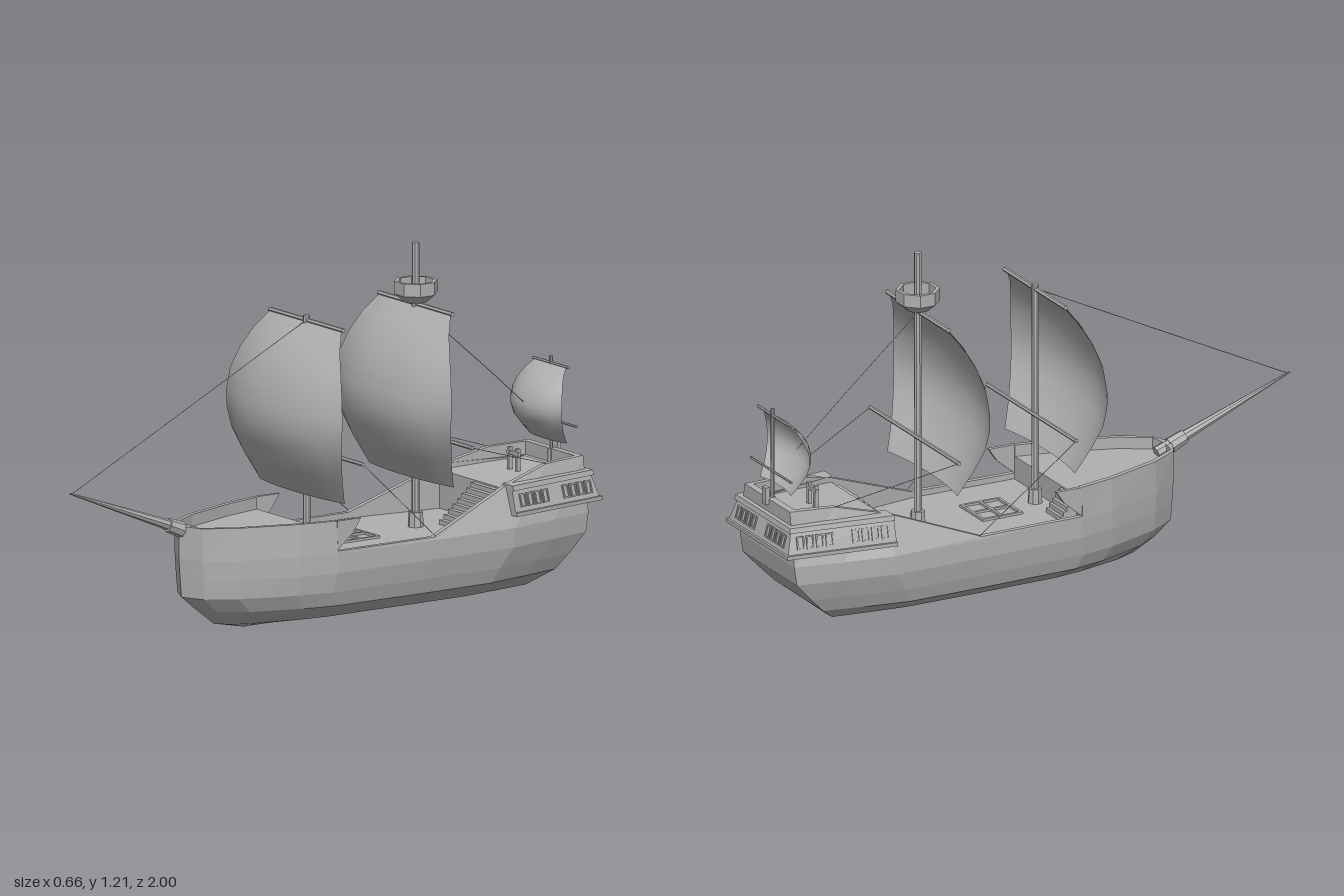
import * as THREE from 'three';

const grey = new THREE.MeshStandardMaterial({ color: 0xb0b0b0, flatShading: true });
grey.name = 'plain grey';
const sailGrey = grey.clone();
sailGrey.name = 'sail grey';
sailGrey.flatShading = false;
sailGrey.side = THREE.DoubleSide;

const V = (x, y, z) => new THREE.Vector3(x, y, z);

// Surface through a grid of points; rows share the same column count
function loft(rows) {
  const cols = rows[0].length, pos = [], idx = [];
  rows.forEach(r => r.forEach(p => pos.push(p.x, p.y, p.z)));
  for (let i = 0; i < rows.length - 1; i++) {
    for (let j = 0; j < cols - 1; j++) {
      const a = i * cols + j, b = a + 1, c = b + cols, d = a + cols;
      idx.push(a, b, c, a, c, d);
    }
  }
  const g = new THREE.BufferGeometry();
  g.setAttribute('position', new THREE.Float32BufferAttribute(pos, 3));
  g.setIndex(idx);
  g.computeVertexNormals();
  return g;
}

function createModel() {
  const ship = new THREE.Group();
  ship.name = 'sailingShip';

  const add = (name, geo, parent = ship, mat = grey) => {
    const m = new THREE.Mesh(geo, mat);
    m.name = name;
    parent.add(m);
    return m;
  };
  const box = (name, w, h, d, x, y, z, parent = ship) => {
    const m = add(name, new THREE.BoxGeometry(w, h, d), parent);
    m.position.set(x, y, z);
    return m;
  };
  // Tapered round bar between two points
  const bar = (name, a, b, r1, r2 = r1, sides = 8) => {
    const m = add(name, new THREE.CylinderGeometry(r2, r1, a.distanceTo(b), sides));
    m.position.copy(a).lerp(b, 0.5);
    m.quaternion.setFromUnitVectors(V(0, 1, 0), b.clone().sub(a).normalize());
    return m;
  };

  // Hull stations, bow to stern: side x, z, rail x, rail y, deck y
  const half = [
    [0, 0.56, 0, 0.375, 0.335], [0.08, 0.52, 0.08, 0.375, 0.335],
    [0.145, 0.42, 0.14, 0.375, 0.335], [0.215, 0.22, 0.208, 0.375, 0.335],
    [0.242, 0.09, 0.236, 0.375, 0.335], [0.242, 0.09, 0.242, 0.275, 0.255],
    [0.25, -0.29, 0.248, 0.275, 0.255], [0.25, -0.62, 0.2, 0.4, 0.255],
    [0.25, -0.62, 0.2, 0.4, 0.385], [0.218, -0.8, 0.172, 0.445, 0.395],
    [0.185, -0.96, 0.155, 0.45, 0.4], [0, -0.96, 0, 0.45, 0.4],
  ];
  const stations = [...half.slice(1).reverse().map(([x, z, t, y, d]) => [-x, z, -t, y, d]), ...half];
  // Waterlines: height, width share, bow z, stern z
  const levels = [
    [0.005, 0, 0.3, -0.74], [0.03, 0.53, 0.42, -0.77], [0.085, 0.89, 0.49, -0.84],
    [0.135, 0.95, 0.55, -0.89], [0.2, 1, 0.555, -0.95], [0.265, 1, 0.56, -0.96],
  ];
  const inner = z => THREE.MathUtils.clamp(z, -0.935, 0.53);
  const inset = x => Math.sign(x) * Math.max(0, Math.abs(x) - 0.018);
  const rows = levels.map(([y, s, bow, stern]) => stations.map(([x, z]) =>
    V(x * s, y, THREE.MathUtils.mapLinear(z, -0.96, 0.56, stern, bow))));
  rows.push(
    stations.map(([, z, t, y]) => V(t, y, z)),
    stations.map(([, z, t, y]) => V(inset(t), y, inner(z))),
    stations.map(([, z, t, , d]) => V(inset(t), d, inner(z))),
    stations.map(([, z, , , d]) => V(0, d, inner(z))),
  );
  add('hullAndDecks', loft(rows));

  // Pointed ends of the forward bulwarks
  for (const s of [-1, 1]) {
    const wedge = new THREE.Shape([[-0.09, 0.275], [-0.025, 0.33], [0.005, 0.375], [-0.09, 0.375]]
      .map(p => new THREE.Vector2(...p)));
    const m = add('bulwarkEnd', new THREE.ExtrudeGeometry(wedge, { depth: 0.014, bevelEnabled: false }));
    m.rotation.y = Math.PI / 2;
    m.position.x = s * 0.231 - 0.007;
  }

  // Stern gallery: a lipped band round both sides and the stern
  const profile = [[-0.07, 0.305], [0.008, 0.305], [0.008, 0.318], [0, 0.318],
    [-0.02, 0.388], [-0.012, 0.388], [-0.016, 0.405], [-0.075, 0.405]];
  const corners = [[-0.257, -0.615, -1, 0], [-0.202, -0.992, -1, -1],
    [0.202, -0.992, 1, -1], [0.257, -0.615, 1, 0]];
  // Column order runs so that the outside is the front face
  const path = [corners[3], corners[2], corners[1], corners[0]];
  const band = profile.map(([o, y]) => {
    const r = path.map(([x, z, sx, sz]) => V(x + sx * o, y, z + sz * o));
    const cap = ([x, z, sx]) => V(x - sx * 0.07, 0.355, z);
    return [cap(path[0]), ...r, cap(path[3])];
  });
  add('sternGallery', loft(band));

  // Window frames on the gallery
  const windows = (name, x, z, turn, offsets) => {
    const g = new THREE.Group();
    g.name = name;
    g.position.set(x, 0.353, z);
    g.rotation.set(-0.28, turn, 0, 'YXZ');
    for (const c of offsets) {
      for (let i = -1.5; i <= 1.5; i++) {
        const u = c + i * 0.034;
        for (const s of [-1, 1]) {
          box('windowPost', 0.005, 0.042, 0.008, u + s * 0.011, 0, 0, g);
          box('windowBar', 0.027, 0.005, 0.008, u, s * 0.02, 0, g);
        }
      }
    }
    ship.add(g);
  };
  for (const s of [-1, 1]) windows('sideWindows', s * 0.22, -0.8, s * 1.716, [-0.095, 0.1]);
  windows('sternWindows', 0, -0.982, Math.PI, [-0.1, 0.1]);

  // Stairs to the after deck and the foredeck
  const stairs = (name, x, w, z0, z1, top, n) => {
    for (let i = 0; i < n; i++) {
      const h = (top - 0.255) * (i + 1) / n, d = (z1 - z0) / n;
      box(name, w, h, Math.abs(d), x, 0.255 + h / 2, z0 + d * (i + 0.5));
    }
  };
  stairs('afterStairs', 0.09, 0.14, -0.475, -0.62, 0.38, 8);
  stairs('foreStairs', -0.15, 0.1, 0.03, 0.09, 0.33, 5);

  // Cargo hatch frame
  for (let i = -1; i <= 1; i++) {
    box('hatchBar', 0.01, 0.008, 0.15, i * 0.075, 0.259, -0.12);
    box('hatchBar', 0.16, 0.008, 0.01, 0, 0.259, -0.12 + i * 0.07);
  }

  // Bitts and stern post
  for (const s of [-1, 1]) box('bitt', 0.012, 0.075, 0.014, s * 0.022, 0.432, -0.79);
  box('bittBar', 0.064, 0.012, 0.012, 0, 0.452, -0.79);
  box('sternPost', 0.024, 0.06, 0.016, 0, 0.46, -0.965);

  // Bowsprit
  bar('bowsprit', V(0, 0.345, 0.5), V(0, 0.54, 1), 0.022, 0.003);
  bar('bowspritCollar', V(0, 0.362, 0.55), V(0, 0.385, 0.605), 0.027, 0.024);

  // Masts with collars, yards and billowing sails
  const outline = [[0, 0.205, 0, 0], [0.1, 0.245, 0.065, 0.035], [0.22, 0.286, 0.115, 0.06],
    [0.35, 0.318, 0.15, 0.078], [0.48, 0.33, 0.165, 0.085], [0.58, 0.328, 0.167, 0.085],
    [0.7, 0.314, 0.15, 0.075], [0.84, 0.28, 0.105, 0.05], [1, 0.24, 0.035, 0.012]];
  const sail = (name, z, top, bottom, kx, kz) => {
    const grid = outline.map(([t, w, mid, edge]) => {
      const r = [];
      for (let j = -5; j <= 5; j++) {
        const u = j / 5;
        r.push(V(u * w * kx, top + (bottom - top) * t, z + kz * (edge + (mid - edge) * (1 - Math.abs(u) ** 2.3))));
      }
      return r;
    });
    add(name, loft(grid.reverse()), ship, sailGrey);
  };
  const mast = (name, z, base, top, r) => {
    bar(name + 'Mast', V(0, base, z), V(0, top, z), r, r * 0.9);
    bar(name + 'MastCollar', V(0, base, z), V(0, base + 0.05, z), r * 1.9, r * 1.7);
  };
  const yard = (name, z, y, w, r) => bar(name, V(-w, y, z), V(w, y, z), r, r, 6);

  mast('fore', 0.045, 0.255, 1.02, 0.013);
  mast('main', -0.395, 0.255, 1.21, 0.014);
  mast('mizzen', -0.94, 0.4, 0.76, 0.007);
  for (const [n, z] of [['fore', 0.045], ['main', -0.395]]) {
    sail(n + 'Sail', z + 0.005, 1, 0.43, 1, 1);
    yard(n + 'UpperYard', z, 1.004, 0.21, 0.008);
    yard(n + 'LowerYard', z - 0.012, 0.57, 0.305, 0.007);
  }
  sail('mizzenSail', -0.937, 0.735, 0.485, 0.44, 0.66);
  yard('mizzenYard', -0.94, 0.737, 0.1, 0.005);
  yard('mizzenLowerYard', -0.945, 0.545, 0.14, 0.004);

  // Crow's nest, hollow and eight-sided
  const nest = [[0, 1.012], [0.04, 1.012], [0.073, 1.04], [0.073, 1.083], [0.06, 1.083], [0.06, 1.04], [0, 1.035]];
  const crow = add('crowsNest', new THREE.LatheGeometry(nest.map(p => new THREE.Vector2(...p)), 8, Math.PI / 8));
  crow.position.z = -0.395;

  // Rigging
  const rope = (a, b) => bar('rope', a, b, 0.0012, 0.0012, 4);
  rope(V(0, 1.005, 0.045), V(0, 0.538, 0.99));
  rope(V(0, 1.0, -0.395), V(0, 0.735, -0.7));
  rope(V(0, 0.735, -0.7), V(0, 0.6, -0.85));
  for (const s of [-1, 1]) {
    rope(V(s * 0.303, 0.57, 0.033), V(s * 0.247, 0.277, -0.3));
    rope(V(s * 0.303, 0.57, -0.407), V(s * 0.17, 0.445, -0.8));
  }
  return ship;
}

export { createModel };
